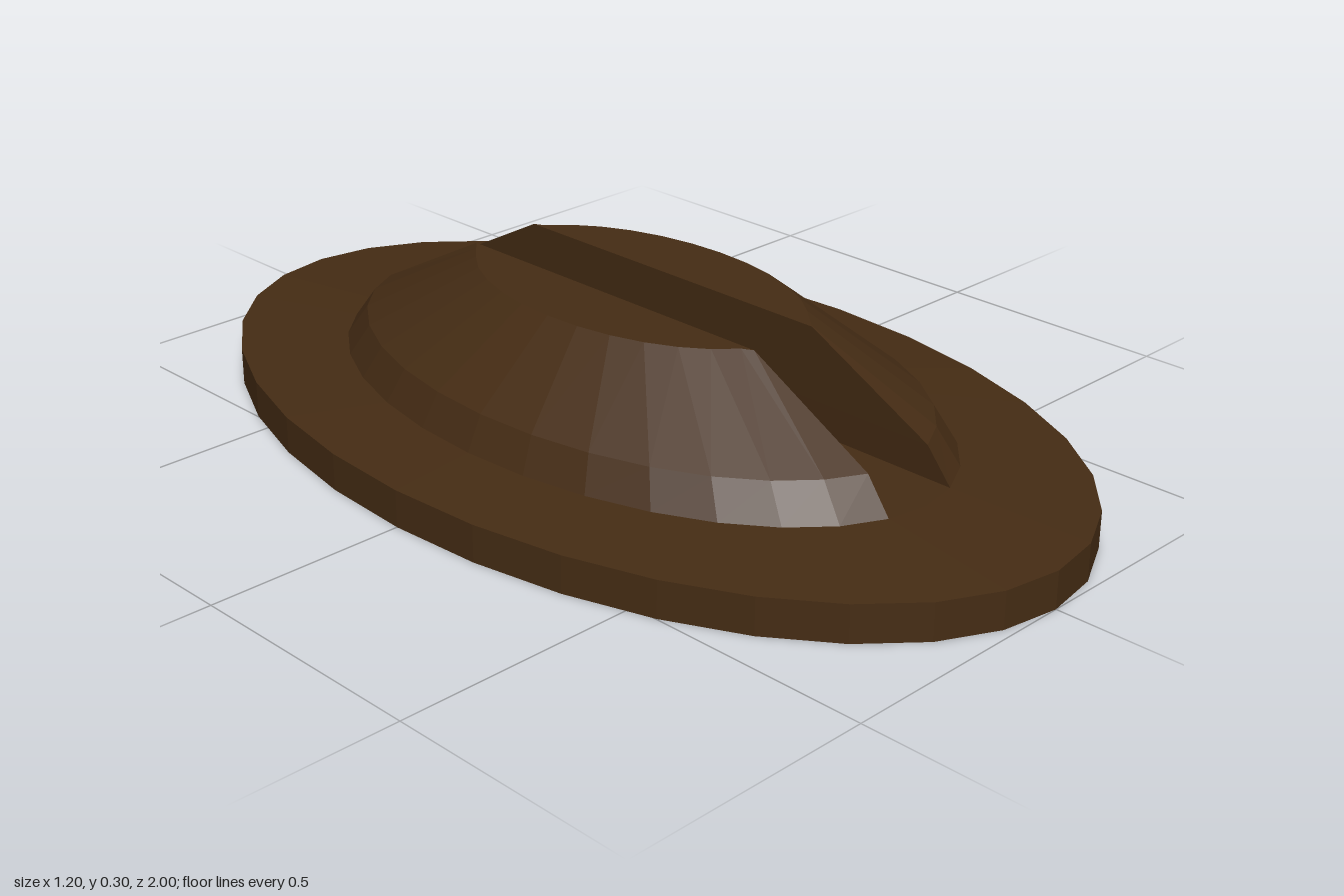
import * as THREE from 'three';

const SEGMENTS = 32;
const STRETCH = 5 / 3; // oval length relative to its width

const material = new THREE.MeshStandardMaterial({ color: 0x452c14, flatShading: true });

// Half dome on the +x side, open-bottomed, with a flat top and a slot wall facing -x
function halfDomeGeometry() {
  // height, x radius, distance of the slot wall from the centre
  const levels = [[0.09, 0.43, 0.084], [0.157, 0.398, 0.081], [0.302, 0.23, 0.077]];
  const steps = SEGMENTS / 2 - 2;
  const row = steps + 1;
  const positions = [];
  const index = [];

  for (const [y, radius, slotX] of levels) {
    for (let i = 0; i <= steps; i++) {
      const angle = (i + 1) * 2 * Math.PI / SEGMENTS;
      const atSlot = i === 0 || i === steps;
      positions.push(
        atSlot ? slotX : radius * Math.sin(angle),
        y,
        radius * STRETCH * Math.cos(angle)
      );
    }
  }

  const quad = (a, b, c, d) => index.push(a, b, c, a, c, d);
  for (let k = 0; k < levels.length - 1; k++) {
    const low = k * row, high = low + row;
    for (let i = 0; i < steps; i++) quad(low + i, low + i + 1, high + i + 1, high + i);
    quad(low + steps, low, high, high + steps); // slot wall
  }
  const top = (levels.length - 1) * row;
  for (let i = 1; i < steps; i++) index.push(top, top + i, top + i + 1);

  const geometry = new THREE.BufferGeometry();
  geometry.setAttribute('position', new THREE.Float32BufferAttribute(positions, 3));
  geometry.setIndex(index);
  const flat = geometry.toNonIndexed();
  flat.computeVertexNormals();
  return flat;
}

export function createModel() {
  const group = new THREE.Group();
  group.name = 'slottedOvalButton';

  // Oval base plate with a gently sloping rim
  const profile = [[0, 0], [0.6, 0], [0.6, 0.074], [0.43, 0.09], [0, 0.09]]
    .map(([x, y]) => new THREE.Vector2(x, y));
  const baseGeometry = new THREE.LatheGeometry(profile, SEGMENTS).scale(1, 1, STRETCH);
  const base = new THREE.Mesh(baseGeometry, material);
  base.name = 'base';
  group.add(base);

  // Two half domes either side of the slot
  const domeGeometry = halfDomeGeometry();
  for (const [name, turn] of [['leftHalfDome', 0], ['rightHalfDome', Math.PI]]) {
    const dome = new THREE.Mesh(domeGeometry, material);
    dome.name = name;
    dome.rotation.y = turn;
    group.add(dome);
  }

  return group;
}
